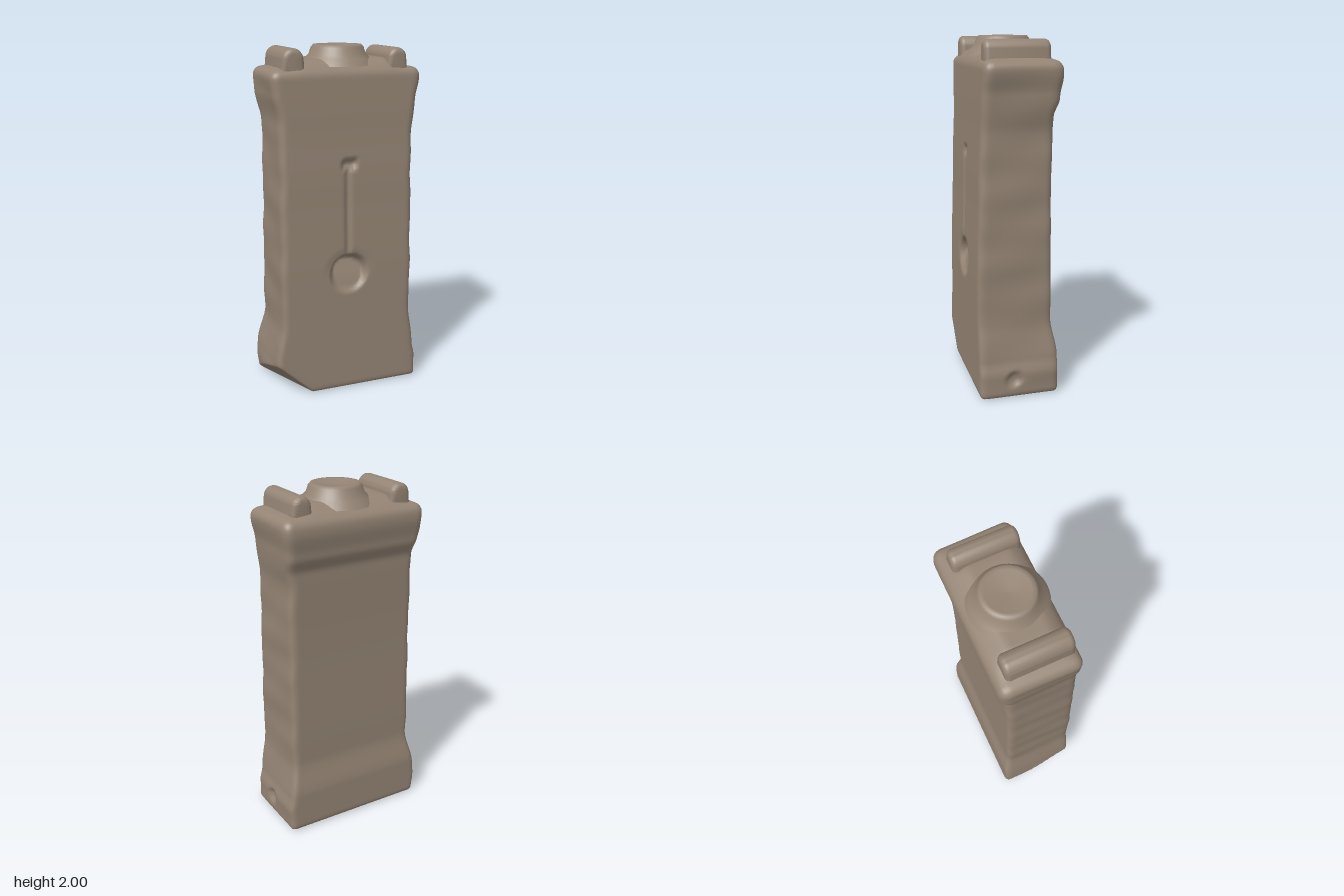
import * as THREE from 'three';
import { mergeVertices, toCreasedNormals } from 'three/addons/utils/BufferGeometryUtils.js';

const { smoothstep, clamp, lerp } = THREE.MathUtils;

// Linear interpolation through [height, value] pairs
function profile(points, y) {
  for (let i = 1; i < points.length; i++) {
    const [y0, a] = points[i - 1], [y1, b] = points[i];
    if (y <= y1) return lerp(a, b, smoothstep(y, y0, y1));
  }
  return points[points.length - 1][1];
}

// Outline of the block on each side, by height
const LEFT = [[0, 0.44], [0.13, 0.44], [0.22, 0.425], [0.42, 0.395], [1.5, 0.393], [1.7, 0.42], [1.84, 0.44]];
const RIGHT = [[0, 0.44], [0.1, 0.447], [0.2, 0.44], [0.42, 0.4], [1.58, 0.392], [1.75, 0.42], [1.86, 0.432]];
const FRONT = [[0, 0.236], [0.7, 0.236], [1.2, 0.224], [1.6, 0.212], [1.88, 0.205]];
const BACK = [[0, 0.222], [0.22, 0.22], [0.44, 0.188], [1.2, 0.183], [1.58, 0.19], [1.68, 0.22], [1.8, 0.236], [1.88, 0.23]];

const H = 1.88, HW = 0.42, HD = 0.22;

// Depth of the round socket, groove and notch in the front face
function carving(x, y) {
  const r = Math.hypot(x, y - 0.72);
  const rim = 0.008 * (1 - smoothstep(r, 0.1, 0.17)) * smoothstep(y, 0.66, 0.8);
  const socket = (1 - smoothstep(r, 0.088, 0.118)) * (0.04 + 0.025 * (y - 0.72) / 0.11);
  const groove = 0.014 * (1 - smoothstep(Math.abs(x + 0.005), 0.004, 0.026))
    * smoothstep(y, 0.78, 0.84) * (1 - smoothstep(y, 1.34, 1.38));
  const notch = 0.026 * (1 - smoothstep(Math.abs(x - 0.005), 0.025, 0.055))
    * smoothstep(y, 1.31, 1.36) * (1 - smoothstep(y, 1.37, 1.39));
  return Math.max(rim + socket, groove, notch);
}

function blockGeometry() {
  let geo = new THREE.BoxGeometry(HW * 2, H, HD * 2, 64, 124, 22);
  geo.deleteAttribute('uv');
  geo.deleteAttribute('normal');
  geo = mergeVertices(geo);
  const pos = geo.attributes.position;
  const p = new THREE.Vector3(), inner = new THREE.Vector3();
  const chip = new THREE.Vector3(-0.65, -0.7, 0.3).normalize();
  for (let i = 0; i < pos.count; i++) {
    p.fromBufferAttribute(pos, i);
    p.y += H / 2;
    const onFront = p.z > HD - 0.001;

    // Round the edges
    const r = lerp(0.03, 0.05, p.y / H);
    inner.set(clamp(p.x, r - HW, HW - r), clamp(p.y, r, H - r), clamp(p.z, r - HD, HD - r));
    p.sub(inner);
    if (p.lengthSq() > 0) p.setLength(r);
    p.add(inner);

    // Flared outline with a slightly worn surface
    const y = p.y;
    const wear = 1 + 0.006 * Math.sin(y * 17 + p.z * 9) + 0.004 * Math.sin(y * 31 + p.x * 7);
    p.x *= (p.x > 0 ? profile(LEFT, y) : profile(RIGHT, y)) / HW * wear;
    p.z *= (p.z > 0 ? profile(FRONT, y) : profile(BACK, y)) / HD;

    // Raised middle of the top
    p.y += 0.05 * smoothstep(y, 1.78, H) * (1 - smoothstep(Math.abs(p.x), 0.22, 0.41))
      * (1 - smoothstep(Math.abs(p.z), 0.1, 0.22));

    if (onFront) p.z -= carving(p.x, p.y);

    // Small pit low on the left side
    if (p.x > 0.3) p.x -= 0.025 * (1 - smoothstep(Math.hypot(p.z - 0.04, y - 0.11), 0.02, 0.055));

    // Broken lower corner
    const over = p.dot(chip) - 0.207;
    if (over > 0) p.addScaledVector(chip, -over);
    pos.setXYZ(i, p.x, p.y, p.z);
  }
  geo.computeVertexNormals();
  return geo;
}

// Rounded ridge running front to back
function ridgeGeometry(half, top) {
  const bevel = 0.028, core = half - bevel;
  const s = new THREE.Shape();
  s.moveTo(-core - 0.015, 1.8);
  s.lineTo(-core, top - bevel - core);
  s.absarc(0, top - bevel - core, core, Math.PI, 0, true);
  s.lineTo(core + 0.015, 1.8);
  s.closePath();
  const geo = new THREE.ExtrudeGeometry(s, {
    depth: 0.31, bevelEnabled: true, bevelSize: bevel, bevelThickness: bevel,
    bevelSegments: 4, curveSegments: 10, steps: 1,
  });
  geo.translate(0, 0, -0.152);
  return toCreasedNormals(geo, 0.9);
}

export function createModel() {
  const model = new THREE.Group();
  model.name = 'stonePillar';
  const stone = new THREE.MeshStandardMaterial({ color: 0x948474 });
  stone.name = 'weatheredStone';

  const add = (name, geo, x = 0, z = 0) => {
    const mesh = new THREE.Mesh(geo, stone);
    mesh.name = name;
    mesh.position.set(x, 0, z);
    model.add(mesh);
    return mesh;
  };

  add('block', blockGeometry());
  add('leftRidge', ridgeGeometry(0.055, 1.985), 0.305);
  add('rightRidge', ridgeGeometry(0.06, 1.992), -0.3);

  // Flared round boss with a shallow dish on top
  const boss = [[0.21, 1.89], [0.185, 1.925], [0.16, 1.95], [0.148, 1.985], [0.135, 2], [0.115, 2], [0.06, 1.99], [0, 1.986]]
    .map(([r, y]) => new THREE.Vector2(r, y));
  add('topBoss', new THREE.LatheGeometry(boss, 40), 0.012);

  return model;
}
